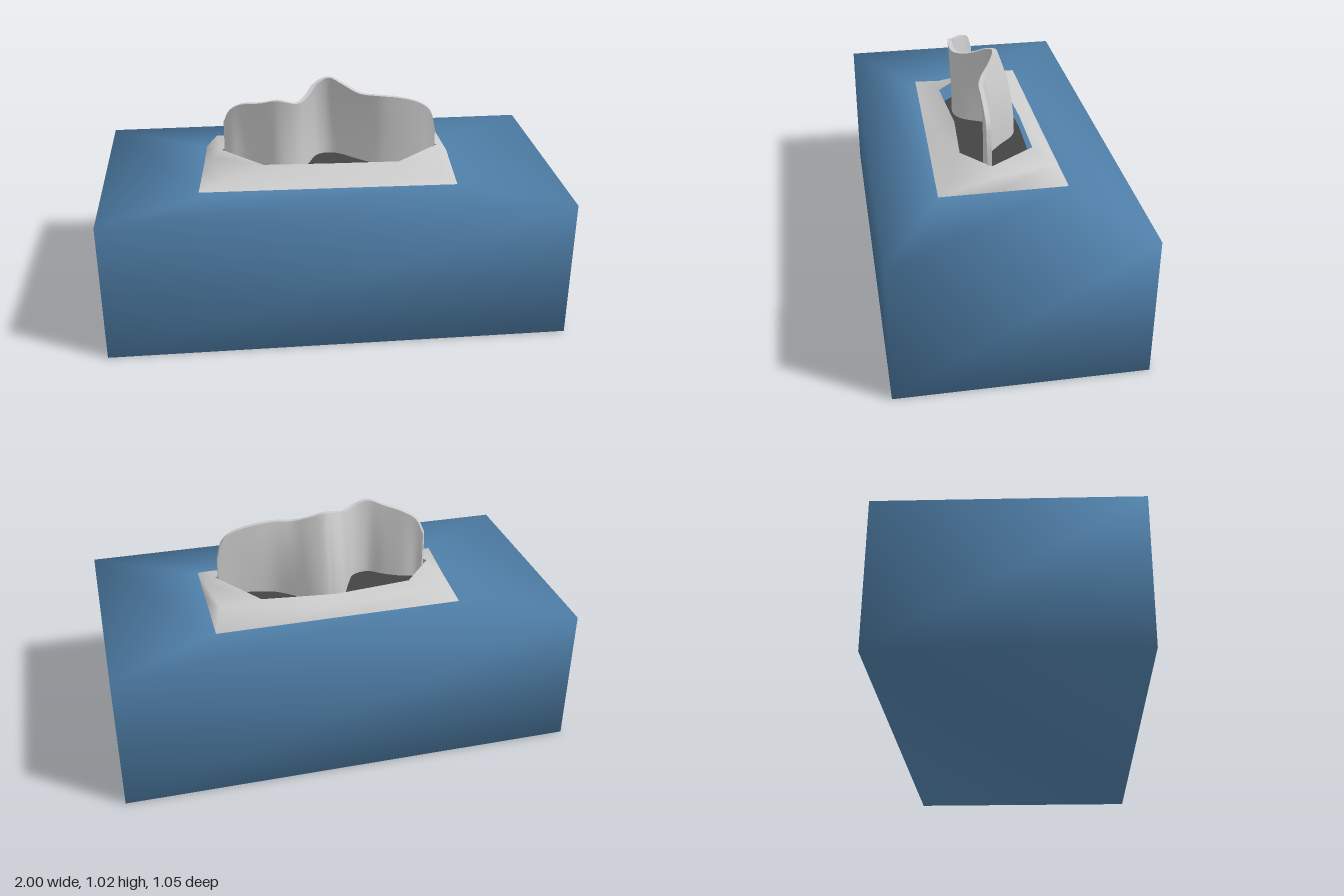
import * as THREE from 'three';
import { toCreasedNormals } from 'three/addons/utils/BufferGeometryUtils.js';

// Skins a stack of equal-length rings of [x, y, z]; rings run counter-clockwise seen from above.
function loft(rings, capBottom, capTop) {
  const n = rings[0].length, last = (rings.length - 1) * n, index = [];
  for (let r = 0; r < rings.length - 1; r++) {
    for (let j = 0; j < n; j++) {
      const a = r * n + j, b = r * n + (j + 1) % n;
      index.push(a, b, b + n, a, b + n, a + n);
    }
  }
  for (let j = 1; j < n - 1; j++) {
    if (capBottom) index.push(0, j + 1, j);
    if (capTop) index.push(last, last + j, last + j + 1);
  }
  const geometry = new THREE.BufferGeometry();
  geometry.setAttribute('position', new THREE.Float32BufferAttribute(rings.flat(2), 3));
  geometry.setIndex(index);
  geometry.computeVertexNormals();
  return geometry;
}

function part(name, geometry, color = 0xcccccc, side = THREE.FrontSide) {
  const mesh = new THREE.Mesh(geometry, new THREE.MeshStandardMaterial({ color, side }));
  mesh.name = name;
  return mesh;
}

const rectangle = (x, y, z) => [[x, y, z], [x, y, -z], [-x, y, -z], [-x, y, z]];

// Thin upright sheet following a wavy path, leaning from its base line to its top line.
function tissueGeometry() {
  // x, z at base, z at top, top height
  const path = [
    [-0.46, -0.02, -0.015, 0.85], [-0.43, 0, 0.005, 0.915], [-0.38, 0.01, 0.03, 0.945],
    [-0.30, 0.05, 0.08, 0.965], [-0.23, 0.095, 0.11, 0.985], [-0.15, 0.075, 0.1, 0.965],
    [-0.1, -0.01, 0.04, 0.975], [-0.05, -0.11, -0.03, 1.01], [0.01, -0.135, -0.055, 1.025],
    [0.07, -0.115, -0.03, 1], [0.14, -0.05, 0.015, 0.97], [0.22, 0.01, 0.04, 0.965],
    [0.31, 0.035, 0.045, 0.955], [0.40, 0.045, 0.048, 0.93], [0.45, 0.045, 0.048, 0.89],
    [0.475, 0.045, 0.048, 0.8],
  ];
  const xz = (k) => new THREE.CatmullRomCurve3(path.map((p) => new THREE.Vector3(p[0], p[3], p[k])));
  const low = xz(1), high = xz(2), samples = 60, levels = 8, base = 0.63, half = 0.01;
  const rings = [];
  for (let l = 0; l <= levels; l++) {
    const t = l / levels, line = [];
    for (let i = 0; i <= samples; i++) {
      const a = low.getPoint(i / samples), b = high.getPoint(i / samples);
      line.push([a.x, base + (a.y - base) * t, a.z + (b.z - a.z) * t * t]);
    }
    // Offset the line to both sides, square to its direction
    const shift = (d) => line.map((p, i) => {
      const q = line[Math.max(i - 1, 0)], s = line[Math.min(i + 1, samples)];
      const dx = s[0] - q[0], dz = s[2] - q[2], len = Math.hypot(dx, dz);
      return [p[0] - dz / len * d, p[1], p[2] + dx / len * d];
    });
    rings.push([...shift(half), ...shift(-half).reverse()]);
  }
  // Close the rim with a strip between the two sides
  const geometry = loft(rings, false, false);
  const index = Array.from(geometry.index.array), n = 2 * (samples + 1), o = levels * n;
  for (let i = 0; i < samples; i++) {
    const a = o + i, b = o + i + 1, c = o + n - 2 - i, d = o + n - 1 - i;
    index.push(a, b, c, a, c, d);
  }
  geometry.setIndex(index);
  return toCreasedNormals(geometry, Math.PI / 4);
}

export function createModel() {
  const group = new THREE.Group();
  group.name = 'tissueBox';

  // Carton, softly shaded across its corners
  group.add(part('carton', loft([
    rectangle(1, 0, 0.525), rectangle(1, 0.622, 0.525), rectangle(0.55, 0.622, 0.265),
  ], true, true), 0x5080aa));

  // Crumpled collar around the opening
  const outer = [
    [0.54, 0.625, 0.27], [0.54, 0.625, 0.03], [0.54, 0.625, -0.275], [0, 0.625, -0.272],
    [-0.55, 0.625, -0.27], [-0.565, 0.625, -0.02], [-0.585, 0.625, 0.24], [0, 0.625, 0.255],
  ];
  const ridge = [
    [0.49, 0.655, 0.22], [0.535, 0.69, 0.04], [0.51, 0.72, -0.225], [0, 0.665, -0.24],
    [-0.5, 0.69, -0.24], [-0.52, 0.675, -0.02], [-0.5, 0.65, 0.2], [0, 0.65, 0.2],
  ];
  const lip = [
    [0.3, 0.69, 0.145], [0.49, 0.72, 0.04], [0.32, 0.7, -0.165], [-0.01, 0.685, -0.175],
    [-0.35, 0.695, -0.155], [-0.48, 0.71, -0.02], [-0.3, 0.705, 0.155], [0, 0.685, 0.125],
  ];
  const hole = lip.map(([x, , z]) => [x, 0.63, z]);
  group.add(part('collar', loft([outer, ridge, lip], false, false), 0xcccccc, THREE.DoubleSide));

  // Dark opening inside the collar
  const openingShape = new THREE.Shape(hole.map(([x, , z]) => new THREE.Vector2(x, -z)));
  const opening = part('opening', new THREE.ShapeGeometry(openingShape), 0x444444);
  opening.rotation.x = -Math.PI / 2;
  opening.position.y = 0.63;
  group.add(opening);

  group.add(part('tissue', tissueGeometry(), 0xcccccc, THREE.DoubleSide));
  return group;
}
